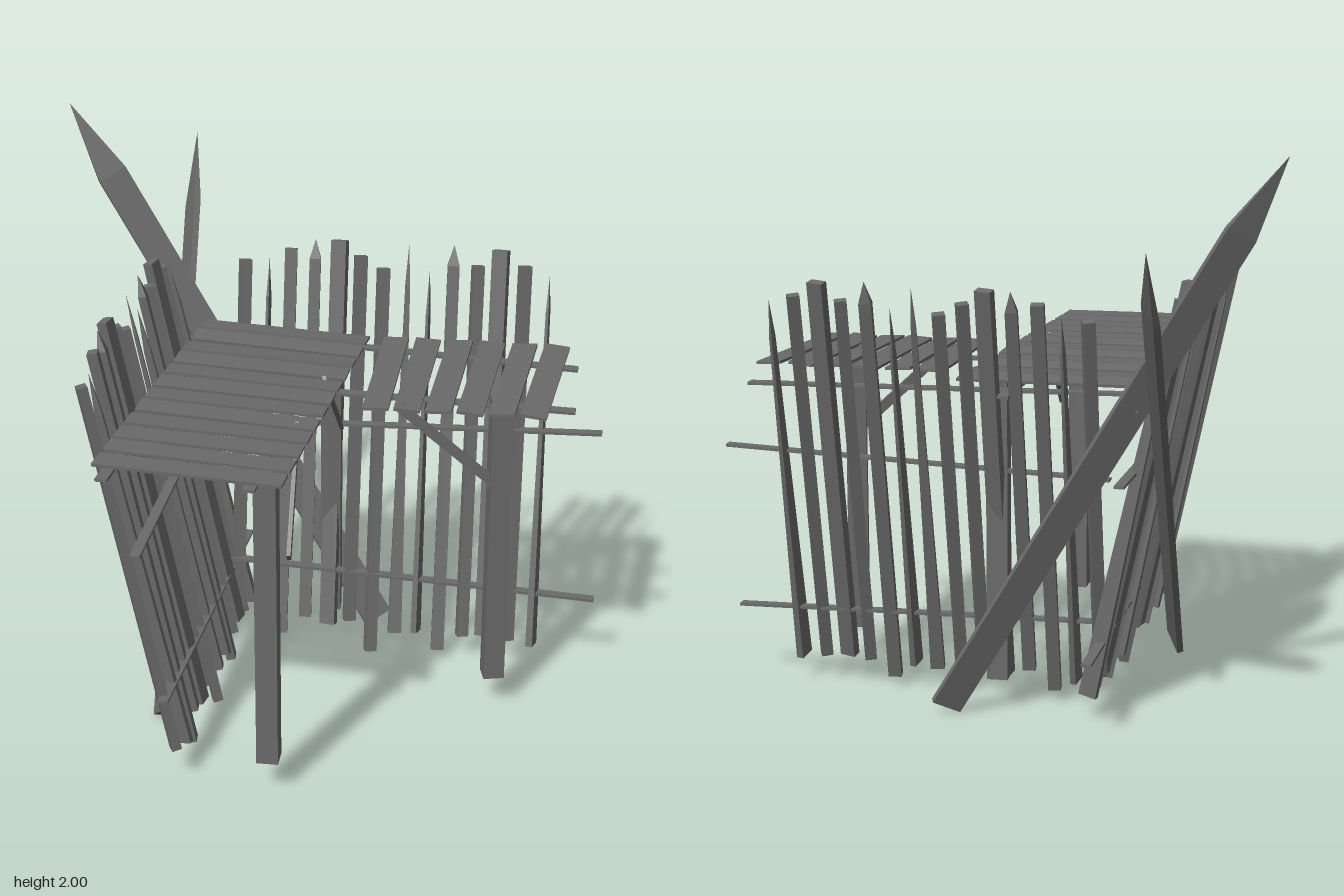
import * as THREE from 'three';

const material = new THREE.MeshStandardMaterial({ color: 0x6a6a6a, flatShading: true });
const V = (x, y, z) => new THREE.Vector3(x, y, z);
const turned = (yaw) => V(Math.sin(yaw), 0, Math.cos(yaw));

// Four-sided timber profiles: [half width, height fraction], bottom to top
const FLAT = [[0, 0], [0.5, 0], [0.5, 1], [0, 1]];
const pointed = (shoulder, taper = 1) => [[0, 0], [0.5, 0], [0.5 * taper, shoulder], [0, 1]];

// Timber from a to b, w wide and d deep, with its depth facing 'face'
function timber(name, a, b, w, d, profile = FLAT, face = V(0, 0, 1)) {
  const pts = profile.map(([r, h]) => new THREE.Vector2(r * Math.SQRT2, h));
  const geo = new THREE.LatheGeometry(pts, 4, Math.PI / 4);
  geo.scale(w, a.distanceTo(b), d);
  const y = b.clone().sub(a).normalize();
  const x = y.clone().cross(face).normalize();
  const z = x.clone().cross(y);
  geo.applyMatrix4(new THREE.Matrix4().makeBasis(x, y, z).setPosition(a));
  const mesh = new THREE.Mesh(geo, material);
  mesh.name = name;
  return mesh;
}

// Stakes of one wall: x, bottom, top, width, depth, profile, yaw
const STAKES = [
  [-0.35, 0.12, 1.44, 0.042, 0.034, FLAT, 0.5],
  [-0.26, 0.09, 1.45, 0.06, 0.022, pointed(0.9, 0.45), 1.4],
  [-0.18, 0.05, 1.49, 0.045, 0.035, FLAT, 0.15],
  [-0.09, 0.12, 1.53, 0.046, 0.032, pointed(0.95, 0.9), 0.15],
  [0.0, 0.1, 1.53, 0.058, 0.035, FLAT, -0.15],
  [0.08, 0.12, 1.48, 0.042, 0.034, FLAT, 0.5],
  [0.165, 0.01, 1.44, 0.042, 0.035, FLAT, 0.45],
  [0.255, 0.09, 1.53, 0.05, 0.035, pointed(0.9, 0.35), 0.2],
  [0.335, 0.1, 1.45, 0.06, 0.022, pointed(0.88, 0.45), 1.4],
  [0.42, 0.04, 1.54, 0.048, 0.032, pointed(0.95, 0.9), 0.15],
  [0.51, 0.1, 1.47, 0.042, 0.032, FLAT, 0.4],
  [0.59, 0.11, 1.53, 0.058, 0.035, FLAT, -0.2],
  [0.68, 0.1, 1.48, 0.042, 0.034, FLAT, 0.5],
  [0.77, 0.09, 1.46, 0.065, 0.026, pointed(0.9, 0.4), 1.4],
];

// Outward-leaning palisade with a walkway; planks from firstPlank on, each set
// by place(i) = [inner end z, sideways skew]
function wall(name, firstPlank, place) {
  const g = new THREE.Group();
  g.name = name;
  const leanZ = (y) => -0.15 - 0.205 * y;

  for (const [x, y0, y1, w, d, profile, yaw] of STAKES) {
    g.add(timber('stake', V(x + 0.008, y0, leanZ(y0)), V(x - 0.005, y1, leanZ(y1)),
      w, d, profile, turned(yaw)));
  }

  // Rails holding the stakes, and joists under the walkway
  const up = V(0, 1, 0);
  g.add(timber('lowerRail', V(-0.4, 0.33, -0.2), V(1, 0.28, -0.215), 0.035, 0.01, FLAT, up));
  g.add(timber('upperRail', V(-0.395, 0.865, -0.28), V(0.99, 0.905, -0.32), 0.035, 0.01, FLAT, up));
  g.add(timber('innerJoist', V(-0.5, 1.185, -0.35), V(0.89, 1.14, -0.34), 0.04, 0.01, FLAT, up));
  g.add(timber('outerJoist', V(-0.49, 1.185, 0.125), V(0.915, 1.165, 0.1), 0.04, 0.01, FLAT, up));

  // Walkway planks, each rolled a little
  for (let i = firstPlank; i < 12; i++) {
    const x = -0.425 + i * 0.1112;
    const [z, skew] = place(i);
    g.add(timber('walkwayPlank', V(x - skew, 1.218, z), V(x + skew, 1.203, z + 0.62),
      0.09, 0.01, FLAT, V(0.18 * Math.sin(i * 3.1), 1, 0)));
  }
  return g;
}

// Walkway leg with a diagonal brace running back under the planks
function leg(g, x, z, yaw, braceEnd, braceTop) {
  g.add(timber('walkwayLeg', V(x, 0.12, z), V(x, 1.205, z), 0.074, 0.074, FLAT, turned(yaw)));
  g.add(timber('legBrace', braceEnd, braceTop, 0.036, 0.014, FLAT, V(0.3, 0.2, 1)));
}

export function createModel() {
  const model = new THREE.Group();

  const back = wall('backWall', 6, (i) => [-0.325 - 0.006 * (i - 6), 0.012 - 0.005 * (i - 6)]);
  leg(back, 0.665, 0.12, 0.3, V(0.65, 0.89, 0.14), V(0.33, 1.2, 0.25));
  model.add(back);

  // Side wall repeats the back wall, turned a quarter
  const side = wall('sideWall', 0, (i) => [-0.39 + 0.005 * i, -0.009 - 0.003 * Math.sin(i * 2)]);
  side.rotation.y = Math.PI / 2;
  side.position.set(-0.16, 0, 0.475);
  leg(side, -0.345, 0.15, 0.05, V(-0.33, 0.88, 0.22), V(0.02, 1.2, 0.18));
  leg(side, 0.755, 0.16, 0.1, V(0.725, 0.89, 0.2), V(0.4, 1.2, 0.2));
  model.add(side);

  // Two large sharpened planks crossing at the corner, each twisted on its length
  model.add(timber('cornerStake', V(0.165, 0.03, -0.38), V(-1, 2, -0.435),
    0.11, 0.024, pointed(0.87), V(0.43, 0.25, 0.87)));
  model.add(timber('cornerStake', V(-0.475, 0.04, 0.48), V(-0.66, 1.76, -0.97),
    0.11, 0.024, pointed(0.87), V(0.85, -0.32, -0.38)));

  return model;
}
